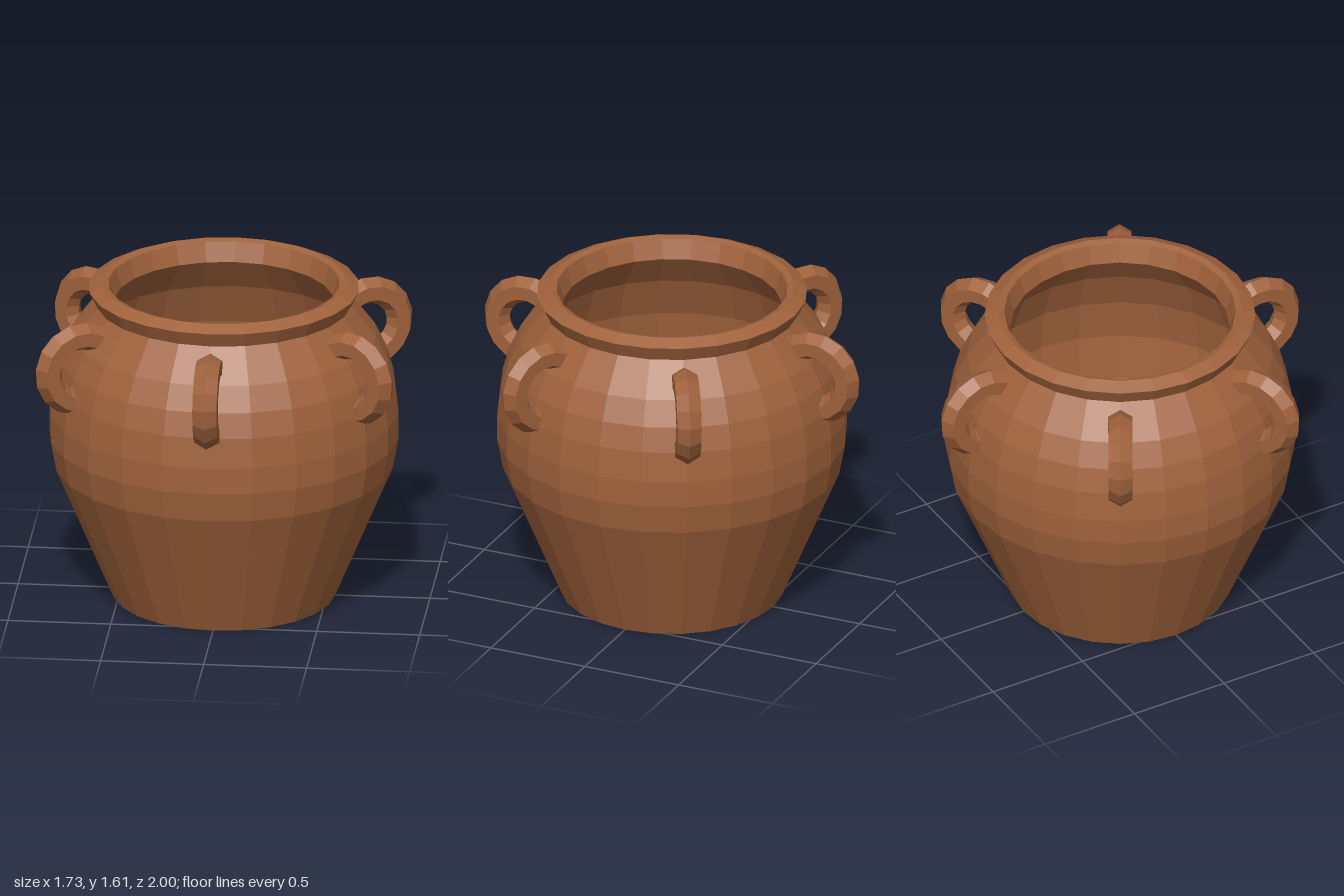
import * as THREE from 'three';
import { mergeGeometries } from 'three/addons/utils/BufferGeometryUtils.js';

const clay = new THREE.MeshStandardMaterial({ color: 0xa0623c, flatShading: true });
clay.name = 'terracotta';

const SIDES = 24;

function lathe(name, profile) {
  const points = profile.map(([r, y]) => new THREE.Vector2(r, y));
  const mesh = new THREE.Mesh(new THREE.LatheGeometry(points, SIDES), clay);
  mesh.name = name;
  return mesh;
}

// Hexagonal ring segment with closed ends, lying in the XY plane
function handleGeometry() {
  const ring = 0.167, thick = 0.068;
  const start = THREE.MathUtils.degToRad(-84);
  const arc = THREE.MathUtils.degToRad(206);
  const tube = new THREE.TorusGeometry(ring, thick, 6, 9, arc);
  const lowerEnd = new THREE.CircleGeometry(thick, 6).rotateX(Math.PI / 2).translate(ring, 0, 0);
  const upperEnd = new THREE.CircleGeometry(thick, 6).rotateX(-Math.PI / 2).translate(ring, 0, 0).rotateZ(arc);
  return mergeGeometries([tube, lowerEnd, upperEnd]).rotateZ(start).translate(0.765, 1.27, 0);
}

export function createModel() {
  const pot = new THREE.Group();
  pot.name = 'handledPot';

  // Outer wall with flat base
  pot.add(lathe('body', [
    [0, 0], [0.54, 0], [0.82, 0.67], [0.848, 0.82], [0.848, 0.95],
    [0.83, 1.1], [0.797, 1.22], [0.74, 1.34], [0.62, 1.5],
  ]));

  // Flared lip
  pot.add(lathe('rim', [
    [0.62, 1.5], [0.655, 1.575], [0.59, 1.605], [0.56, 1.595], [0.53, 1.5],
  ]));

  // Hollow inside, down to the floor
  pot.add(lathe('interior', [
    [0.53, 1.5], [0.65, 1.33], [0.73, 1.12], [0.76, 0.9],
    [0.73, 0.67], [0.48, 0.06], [0, 0.06],
  ]));

  // Six handles around the shoulder
  const geometry = handleGeometry();
  for (let i = 0; i < 6; i++) {
    const handle = new THREE.Mesh(geometry, clay);
    handle.name = `handle${i + 1}`;
    handle.rotation.y = Math.PI / 6 + (i * Math.PI) / 3;
    pot.add(handle);
  }
  return pot;
}
